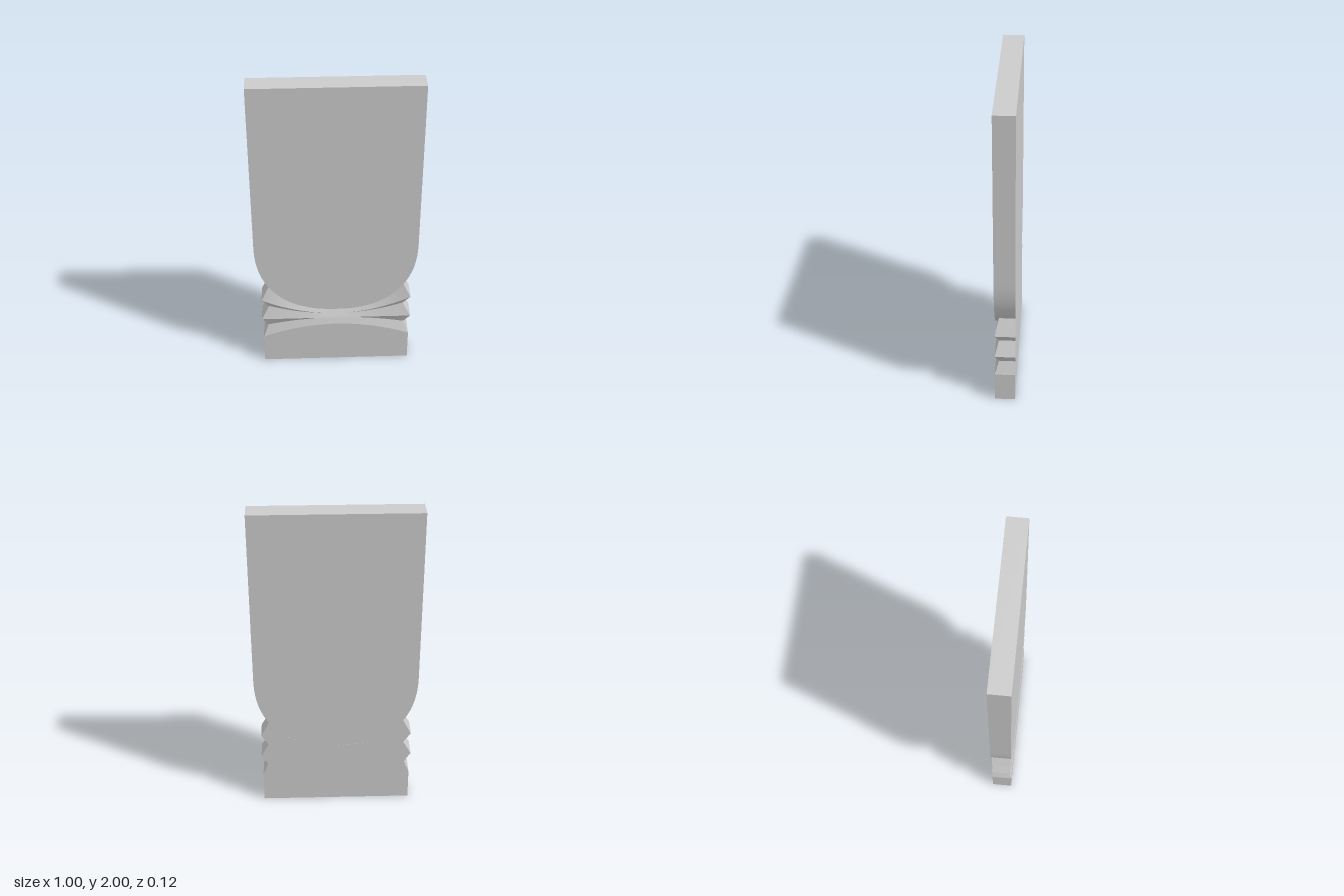
import * as THREE from 'three';
import { toCreasedNormals } from 'three/addons/utils/BufferGeometryUtils.js';

const DEPTH = 0.062; // half thickness of the slab
const HALF = 0.498, SHOULDER = 0.93, DROP = 0.51, POWER = 2.35;

// Rounded lower edge of the big panel
const panelEdge = (x) =>
  SHOULDER - DROP * Math.pow(1 - Math.pow(Math.min(1, Math.abs(x) / HALF), POWER), 1 / POWER);

// Upper panel: straight sides and a rounded lower end
function panelGeometry() {
  const shape = new THREE.Shape();
  shape.moveTo(HALF, 2);
  shape.lineTo(-HALF, 2);
  const n = 64;
  for (let i = 0; i <= n; i++) {
    const a = Math.PI * (1 - i / n);
    const c = Math.cos(a), s = Math.sin(a);
    const x = HALF * Math.sign(c) * Math.pow(Math.abs(c), 2 / POWER);
    shape.lineTo(x, SHOULDER - DROP * Math.pow(Math.max(0, s), 2 / POWER));
  }
  const geo = new THREE.ExtrudeGeometry(shape, { depth: DEPTH * 2, bevelEnabled: false });
  geo.translate(0, 0, -DEPTH);
  return toCreasedNormals(geo, 0.4);
}

// Curves across the base: half width, y at centre, y at side, z at centre, z at side
const ROWS = [
  [0.463, 0, 0, DEPTH, DEPTH],
  [0.463, 0.295, 0.2, DEPTH, DEPTH],
  [0.43, 0.337, 0.283, 0.047, 0.038],
  [0.47, 0.348, 0.348, DEPTH, DEPTH],
  [0.421, 0.374, 0.438, 0.049, 0.038],
  [0.466, 0.385, 0.503, DEPTH, DEPTH],
  [0.415, 0.42, 0.6, 0.045, 0.038],
];

// Base with ridges and grooves, lofted between the curves
function baseGeometry() {
  const pos = [];
  const quad = (a, b, c, d) => [a, b, c, a, c, d].forEach((p) => pos.push(...p));
  const cols = 48, last = ROWS.length - 1;
  const front = (r, u) => {
    const [w, yc, ys, zc, zs] = ROWS[r];
    const x = w * u;
    const y = r === last ? panelEdge(x) : yc + (ys - yc) * u * u;
    return [x, y, zc + (zs - zc) * u * u];
  };
  const back = (r, u) => {
    const [x, y] = front(r, u);
    return [x, y, -DEPTH];
  };
  for (let i = 0; i < cols; i++) {
    const u = -1 + (2 * i) / cols, v = -1 + (2 * (i + 1)) / cols;
    for (let r = 0; r < last; r++) {
      quad(front(r, u), front(r, v), front(r + 1, v), front(r + 1, u));
      quad(back(r, v), back(r, u), back(r + 1, u), back(r + 1, v));
    }
    quad(back(0, u), back(0, v), front(0, v), front(0, u));
  }
  // Notched side walls
  for (let r = 0; r < last; r++) {
    quad(front(r, 1), back(r, 1), back(r + 1, 1), front(r + 1, 1));
    quad(back(r, -1), front(r, -1), front(r + 1, -1), back(r + 1, -1));
  }
  const geo = new THREE.BufferGeometry();
  geo.setAttribute('position', new THREE.Float32BufferAttribute(pos, 3));
  return toCreasedNormals(geo, 0.15);
}

export function createModel() {
  const group = new THREE.Group();
  group.name = 'carvedSlab';
  const material = new THREE.MeshStandardMaterial({ color: 0xcccccc });
  const parts = { upperPanel: panelGeometry(), ridgedBase: baseGeometry() };
  for (const [name, geometry] of Object.entries(parts)) {
    const mesh = new THREE.Mesh(geometry, material);
    mesh.name = name;
    group.add(mesh);
  }
  return group;
}
